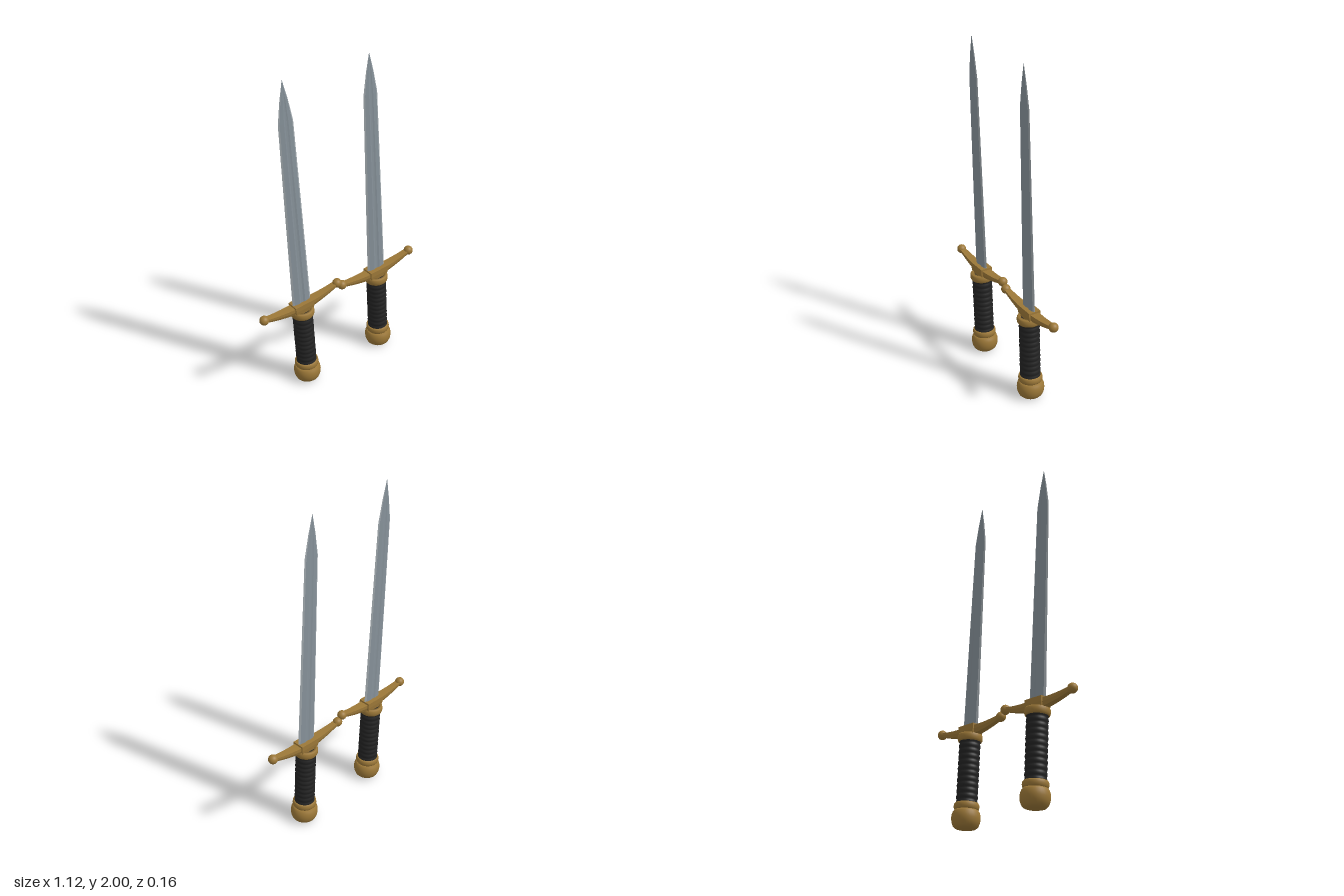
import * as THREE from 'three';

const material = (name, color, side = THREE.FrontSide) => {
  const m = new THREE.MeshStandardMaterial({ color, side });
  m.name = name;
  return m;
};
const gold = material('aged gold', 0x9c7838);
const leather = material('black leather', 0x242424);
const steel = material('steel', 0x87929a, THREE.DoubleSide);
const edgeSteel = material('honed steel', 0xa3abb0, THREE.DoubleSide);

function mesh(name, geometry, mat) {
  const m = new THREE.Mesh(geometry, mat);
  m.name = name;
  return m;
}

const lathe = (points, sides = 32) =>
  new THREE.LatheGeometry(points.map(([r, y]) => new THREE.Vector2(r, y)), sides);

// Flat-faced box whose vertices are moved by a rule
function shapedBox(segments, rule) {
  const g = new THREE.BoxGeometry(2, 2, 2, ...segments).toNonIndexed();
  const p = g.attributes.position;
  for (let i = 0; i < p.count; i++) p.setXYZ(i, ...rule(p.getX(i), p.getY(i), p.getZ(i)));
  g.computeVertexNormals();
  return g;
}

// Blade stations: height, half width, half thickness
const stations = [
  [0.56, 0.063, 0.013], [1.2, 0.055, 0.010], [1.76, 0.047, 0.007],
  [1.89, 0.025, 0.005], [1.998, 0.0005, 0.0005],
];
// Half cross-section: fraction of width, fraction of thickness, with a shallow fuller
const section = [[-1, 0], [-0.82, 0.6], [-0.3, 1], [-0.12, 0.7], [0.12, 0.7], [0.3, 1], [0.82, 0.6], [1, 0]];

// Lengthwise strips of the blade between the listed section points, on both faces
function bladeStrips(list) {
  const v = [];
  for (const face of [1, -1]) {
    for (const k of list) {
      for (let s = 0; s < stations.length - 1; s++) {
        const at = (st, [fx, fz]) => [st[1] * fx, st[0], st[2] * fz * face];
        const a = at(stations[s], section[k]), b = at(stations[s], section[k + 1]);
        const c = at(stations[s + 1], section[k + 1]), d = at(stations[s + 1], section[k]);
        v.push(...(face > 0 ? [a, b, c, a, c, d] : [a, c, b, a, d, c]).flat());
      }
    }
  }
  const g = new THREE.BufferGeometry();
  g.setAttribute('position', new THREE.Float32BufferAttribute(v, 3));
  g.computeVertexNormals();
  return g;
}

function createDagger(name) {
  const dagger = new THREE.Group();
  dagger.name = name;

  // Rounded pommel with a collar above it
  dagger.add(mesh('pommel', lathe([
    [0, 0], [0.04, 0.001], [0.058, 0.006], [0.07, 0.018], [0.078, 0.038], [0.081, 0.06],
    [0.079, 0.08], [0.073, 0.097], [0.064, 0.108], [0, 0.11],
  ]), gold));
  const collar = (y, h) => lathe([
    [0.05, y], [0.064, y], [0.069, y + h * 0.18], [0.071, y + h * 0.5],
    [0.069, y + h * 0.82], [0.064, y + h], [0.05, y + h], [0.05, y],
  ]);
  dagger.add(mesh('pommelCollar', collar(0.106, 0.04), gold));
  dagger.add(mesh('gripCollar', collar(0.494, 0.044), gold));

  // Wrapped grip with rounded ridges
  const ridges = [[0, 0.13]], steps = 72;
  for (let i = 0; i <= steps; i++) {
    const t = i / steps;
    ridges.push([0.056 + 0.0045 * Math.abs(Math.sin(t * Math.PI * 12)), 0.13 + 0.385 * t]);
  }
  ridges.push([0, 0.515]);
  dagger.add(mesh('grip', lathe(ridges), leather));

  // Upswept crossguard, tapering to a ball at each end
  dagger.add(mesh('crossguard', shapedBox([16, 2, 1], (x, y, z) => {
    const a = Math.abs(x);
    const height = THREE.MathUtils.lerp(0.026, 0.011, a);
    const depth = THREE.MathUtils.lerp(0.032, 0.017, a) * (y < -0.5 ? 0.72 : 1);
    return [x * 0.255, 0.553 + 0.034 * a * a + y * height, z * depth];
  }), gold));
  dagger.add(mesh('guardBlock', shapedBox([1, 2, 1], (x, y, z) => {
    const k = y < -0.5 ? 0.9 : 1;
    return [x * 0.064 * k, 0.557 + y * 0.031, z * 0.037 * k];
  }), gold));
  for (const side of [-1, 1]) {
    const ball = mesh(side > 0 ? 'leftGuardBall' : 'rightGuardBall', new THREE.SphereGeometry(0.028, 24, 16), gold);
    ball.position.set(side * 0.257, 0.588, 0);
    dagger.add(ball);
  }

  // Blade faces and honed edges
  dagger.add(mesh('blade', bladeStrips([1, 2, 3, 4, 5]), steel));
  dagger.add(mesh('bladeEdges', bladeStrips([0, 6]), edgeSteel));
  return dagger;
}

export function createModel() {
  const model = new THREE.Group();
  model.name = 'pairOfDaggers';
  // Two matching daggers, both leaning the same way
  for (const [name, x] of [['rightDagger', -0.243], ['leftDagger', 0.307]]) {
    const dagger = createDagger(name);
    dagger.position.set(x, 0.003, 0);
    dagger.rotation.z = 0.058;
    model.add(dagger);
  }
  return model;
}
